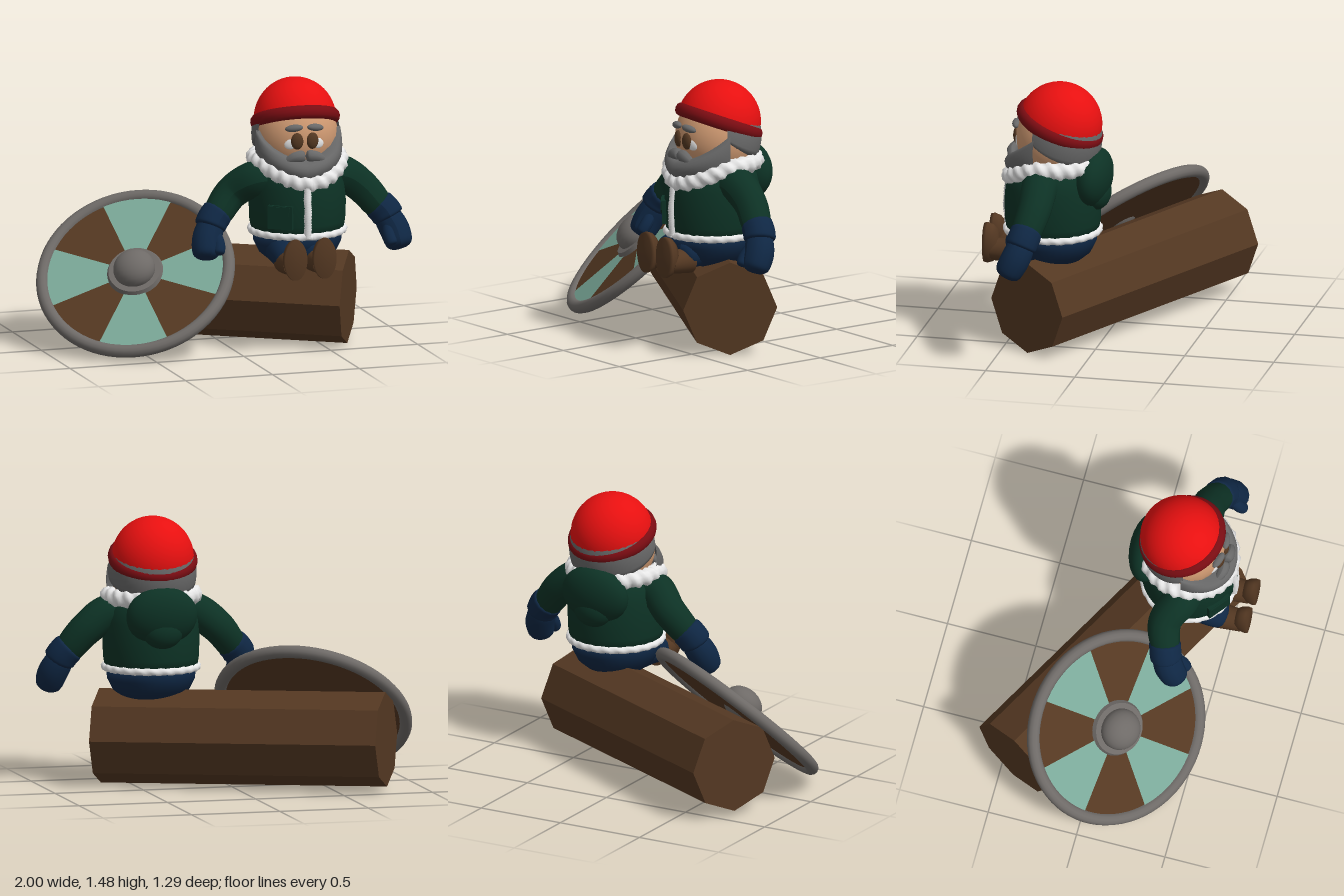
import * as THREE from 'three';

const V = (x, y, z) => new THREE.Vector3(x, y, z);
const mat = (name, color, side = THREE.FrontSide) => {
  const m = new THREE.MeshStandardMaterial({ color, side });
  m.name = name;
  return m;
};

export function createModel() {
  const M = {
    red: mat('hatRed', 0xe81010), darkRed: mat('brimDarkRed', 0x7a0c12),
    skin: mat('skin', 0xd09a72), hair: mat('hairGrey', 0x686868, THREE.DoubleSide),
    metal: mat('shieldMetal', 0x6e6a67), white: mat('furWhite', 0xececec),
    green: mat('coatGreen', 0x0d3225), navy: mat('navyCloth', 0x0f2744),
    brown: mat('woodBrown', 0x543822), teal: mat('shieldTeal', 0x7aa898),
  };
  const root = new THREE.Group();
  root.name = 'gnomeOnLog';

  const add = (parent, name, geo, material, pos = [0, 0, 0], rot = [0, 0, 0], scale = [1, 1, 1]) => {
    const m = new THREE.Mesh(geo, material);
    m.name = name;
    m.position.set(...pos);
    m.rotation.set(...rot);
    m.scale.set(...scale);
    parent.add(m);
    return m;
  };
  const group = (parent, name, pos = [0, 0, 0]) => {
    const g = new THREE.Group();
    g.name = name;
    g.position.set(...pos);
    parent.add(g);
    return g;
  };
  const ball = (parent, name, material, pos, radii, rot) =>
    add(parent, name, new THREE.SphereGeometry(1, 24, 16), material, pos, rot, radii);

  // Tube whose radius follows a rule of length t and angle a
  const taperTube = (points, radius, closed = false, n = 32, sides = 14) => {
    const curve = new THREE.CatmullRomCurve3(points, closed);
    const geo = new THREE.TubeGeometry(curve, n, 1, sides, closed);
    const p = geo.attributes.position, nor = geo.attributes.normal;
    for (let i = 0; i < p.count; i++) {
      const t = Math.floor(i / (sides + 1)) / n;
      const a = (i % (sides + 1)) / sides * Math.PI * 2;
      const c = curve.getPointAt(t), r = radius(t, a);
      p.setXYZ(i, c.x + nor.getX(i) * r, c.y + nor.getY(i) * r, c.z + nor.getZ(i) * r);
    }
    geo.computeVertexNormals();
    return geo;
  };
  const roundEnds = (t) => Math.sqrt(Math.max(0, 1 - Math.pow(Math.abs(2 * t - 1), 8)));
  // Tufty fur radius, periodic around the loop
  const fur = (r, amount) => (t, a) => {
    const w = t * Math.PI * 2;
    return r + amount * (Math.sin(w * 23 + 2 * a) * 0.6 + Math.sin(w * 37 - 3 * a) * 0.4);
  };
  // Curved sheet around the head: fn(u, v) gives [angle from front, y, radius]
  const sheet = (fn, nu = 32, nv = 10) => {
    const geo = new THREE.PlaneGeometry(1, 1, nu, nv);
    const p = geo.attributes.position;
    for (let i = 0; i < p.count; i++) {
      const [ang, y, r] = fn(p.getX(i) + 0.5, 0.5 - p.getY(i));
      p.setXYZ(i, Math.sin(ang) * r, y, Math.cos(ang) * r);
    }
    geo.computeVertexNormals();
    return geo;
  };

  // Log: eight-sided, flat faces, lying askew
  const a = V(0.65, 0.26, 0.35), b = V(-0.76, 0.29, -0.42);
  const logGeo = new THREE.CylinderGeometry(0.26, 0.26, a.distanceTo(b), 8).rotateX(Math.PI / 2).toNonIndexed();
  logGeo.computeVertexNormals();
  const log = add(root, 'log', logGeo, M.brown, a.clone().add(b).multiplyScalar(0.5).toArray());
  log.lookAt(a);

  // Shield: local z is its outward side, local x the middle of one painted wedge
  const shield = group(root, 'shield', [-0.485, 0.41, 0.085]);
  const n = V(-0.356, 0.725, 0.59).normalize();
  const u = V(0.25, 0.684, -0.684).projectOnPlane(n).normalize();
  shield.quaternion.setFromRotationMatrix(new THREE.Matrix4().makeBasis(u, n.clone().cross(u), n));
  add(shield, 'shieldBoard', new THREE.CylinderGeometry(0.51, 0.51, 0.03, 64), M.brown, [0, 0, 0], [Math.PI / 2, 0, 0]);
  for (let i = 0; i < 4; i++) {
    add(shield, 'shieldWedge', new THREE.CircleGeometry(0.5, 12, i * Math.PI / 2 - Math.PI / 8, Math.PI / 4),
      M.teal, [0, 0, 0.018]);
  }
  add(shield, 'shieldRim', new THREE.TorusGeometry(0.515, 0.035, 12, 72), M.metal);
  add(shield, 'bossFlange', new THREE.CylinderGeometry(0.145, 0.158, 0.025, 32), M.metal, [0, 0, 0.025], [Math.PI / 2, 0, 0]);
  ball(shield, 'boss', M.metal, [0, 0, 0.05], [0.115, 0.115, 0.09]);

  // Body
  const body = group(root, 'body', [0.385, 0, 0.265]);
  const lathe = (pts) => new THREE.LatheGeometry(pts.map(([r, y]) => new THREE.Vector2(r, y)), 40);
  add(body, 'coat', lathe([[0.001, 0.63], [0.25, 0.63], [0.262, 0.7], [0.266, 0.8], [0.258, 0.9],
    [0.24, 0.97], [0.2, 1.02], [0.1, 1.06], [0.001, 1.07]]), M.green);
  add(body, 'trousers', lathe([[0.001, 0.46], [0.15, 0.47], [0.21, 0.52], [0.24, 0.58], [0.248, 0.65], [0.001, 0.66]]), M.navy);
  ball(body, 'hood', M.green, [0, 0.95, -0.225], [0.2, 0.165, 0.105], [-0.15, 0, 0]);
  ball(body, 'hoodTip', M.green, [0, 0.87, -0.245], [0.115, 0.1, 0.08]);

  const loop = (r, yOf) => Array.from({ length: 20 }, (_, i) => {
    const w = i / 20 * Math.PI * 2;
    return V(Math.sin(w) * r, yOf(Math.cos(w)), Math.cos(w) * r);
  });
  add(body, 'collarFur', taperTube(loop(0.23, (c) => 1.04 - 0.1 * Math.max(0, c) ** 2), fur(0.046, 0.009), true, 140, 12), M.white);
  add(body, 'hemFur', taperTube(loop(0.253, () => 0.645), fur(0.02, 0.003), true, 120, 10), M.white);
  add(body, 'frontFur', taperTube([V(-0.025, 0.64, 0.255), V(-0.025, 0.77, 0.263), V(-0.025, 0.92, 0.25)],
    fur(0.021, 0.004), false, 40, 10), M.white);

  // Pocket with a pointed flap
  const pocket = group(body, 'pocket', [-0.163, 0.755, 0.206]);
  pocket.rotation.y = -0.67;
  add(pocket, 'pocketPatch', new THREE.BoxGeometry(0.14, 0.13, 0.03), M.green);
  const flap = new THREE.Shape([[-0.06, 0.05], [-0.05, 0.0], [0, -0.03], [0.05, 0.0], [0.06, 0.05]]
    .map(([x, y]) => new THREE.Vector2(x, y)));
  add(pocket, 'pocketFlap', new THREE.ExtrudeGeometry(flap, { depth: 0.009, bevelEnabled: false }), M.green, [0, 0.01, 0.013]);

  // Arms, mittens, legs and boots, mirrored; the right arm reaches less far forward
  for (const s of [1, -1]) {
    const side = s > 0 ? 'left' : 'right', back = s > 0 ? 0 : -0.06;
    const at = (x, y, z) => V(s * x, y, z + (x > 0.3 ? back : 0));
    add(body, side + 'Arm', taperTube([at(0.13, 0.93, 0.02), at(0.24, 0.94, 0.02), at(0.36, 0.86, 0.02), at(0.49, 0.7, 0.06)],
      (t) => (0.108 - 0.028 * t) * roundEnds(t)), M.green);
    add(body, side + 'Cuff', taperTube([at(0.44, 0.77, 0.04), at(0.485, 0.72, 0.055), at(0.51, 0.675, 0.07)],
      (t) => 0.089 * roundEnds(t)), M.navy);
    add(body, side + 'Mitten', taperTube([at(0.48, 0.72, 0.05), at(0.53, 0.62, 0.09), at(0.55, 0.52, 0.14)],
      (t) => (0.07 + 0.012 * Math.sin(t * Math.PI)) * roundEnds(t)), M.navy);
    add(body, side + 'Thumb', taperTube([at(0.49, 0.66, 0.1), at(0.48, 0.6, 0.15), at(0.49, 0.55, 0.18)],
      (t) => 0.034 * roundEnds(t)), M.navy);

    const fx = s * 0.084 - 0.045;
    add(body, side + 'Leg', taperTube([V(s * 0.1, 0.56, 0.0), V(fx, 0.55, 0.15), V(fx, 0.52, 0.25)],
      (t) => (0.1 - 0.025 * t) * roundEnds(t)), M.navy);
    add(body, side + 'BootShaft', new THREE.CylinderGeometry(0.06, 0.072, 0.14, 20), M.brown, [fx, 0.51, 0.265], [Math.PI / 2, 0, 0]);
    add(body, side + 'BootFoot', lathe([[0.001, -0.045], [0.045, -0.04], [0.06, -0.015], [0.066, 0.015], [0.064, 0.035], [0.001, 0.036]])
      .rotateX(Math.PI / 2), M.brown, [fx, 0.545, 0.34], [0, 0, 0], [1, 1.74, 1]);
  }

  // Head, turned slightly to its right
  const head = group(root, 'head', [0.385, 0, 0.235]);
  head.rotation.y = -0.09;
  ball(head, 'face', M.skin, [0, 1.17, 0], [0.23, 0.24, 0.232]);
  add(head, 'beard', sheet((x, v) => {
    const ang = (x - 0.5) * 2.6, k = Math.abs(ang) / 1.3;
    const top = 1.06 + 0.15 * k ** 1.6, bottom = 0.91 + 0.09 * k;
    const r = v < 0.01 ? 0.19 : 0.236 + 0.06 * Math.cos(ang) * Math.sin(Math.PI * v ** 0.8);
    return [ang, top + (bottom - top) * Math.max(0, (v - 0.1) / 0.9), r];
  }), M.hair);
  add(head, 'backHair', sheet((x, v) => {
    const k = Math.abs(x - 0.5) * 2;
    const bottom = 1.02 + 0.15 * k ** 2.5, y = 1.3 + (bottom - 1.3) * v;
    const e = Math.sqrt(Math.max(0, 1 - ((y - 1.17) / 0.27) ** 2));
    return [Math.PI + (x - 0.5) * 3.8, y, v > 0.99 ? 0.18 : 0.242 * e];
  }), M.hair);
  for (const s of [1, -1]) {
    const side = s > 0 ? 'left' : 'right';
    ball(head, side + 'EyeWhite', M.white, [s * 0.075, 1.155, 0.209], [0.04, 0.032, 0.012], [0, s * 0.36, s * -0.3]);
    ball(head, side + 'Iris', M.brown, [s * 0.043, 1.17, 0.224], [0.034, 0.046, 0.02], [0, s * 0.18, 0]);
    ball(head, side + 'Brow', M.hair, [s * 0.06, 1.243, 0.222], [0.05, 0.02, 0.022], [0, s * 0.25, s * -0.12]);
    add(head, side + 'Moustache', taperTube([V(0, 1.09, 0.238), V(s * 0.06, 1.085, 0.245), V(s * 0.12, 1.052, 0.22), V(s * 0.165, 1.055, 0.185)],
      (t) => (0.038 - 0.028 * t) * roundEnds(t), false, 20, 10), M.hair);
  }

  // Knitted hat, tipped back
  const hat = group(head, 'hat', [0, 1.245, -0.01]);
  hat.rotation.x = -0.38;
  add(hat, 'hatCrown', new THREE.SphereGeometry(1, 32, 16, 0, Math.PI * 2, 0, Math.PI / 2), M.red, [0, 0, 0], [0, 0, 0], [0.226, 0.232, 0.232]);
  add(hat, 'hatBrim', new THREE.TorusGeometry(0.216, 0.03, 12, 40).rotateX(Math.PI / 2), M.darkRed, [0, 0, 0], [0, 0, 0], [1, 1.25, 1.02]);

  return root;
}
